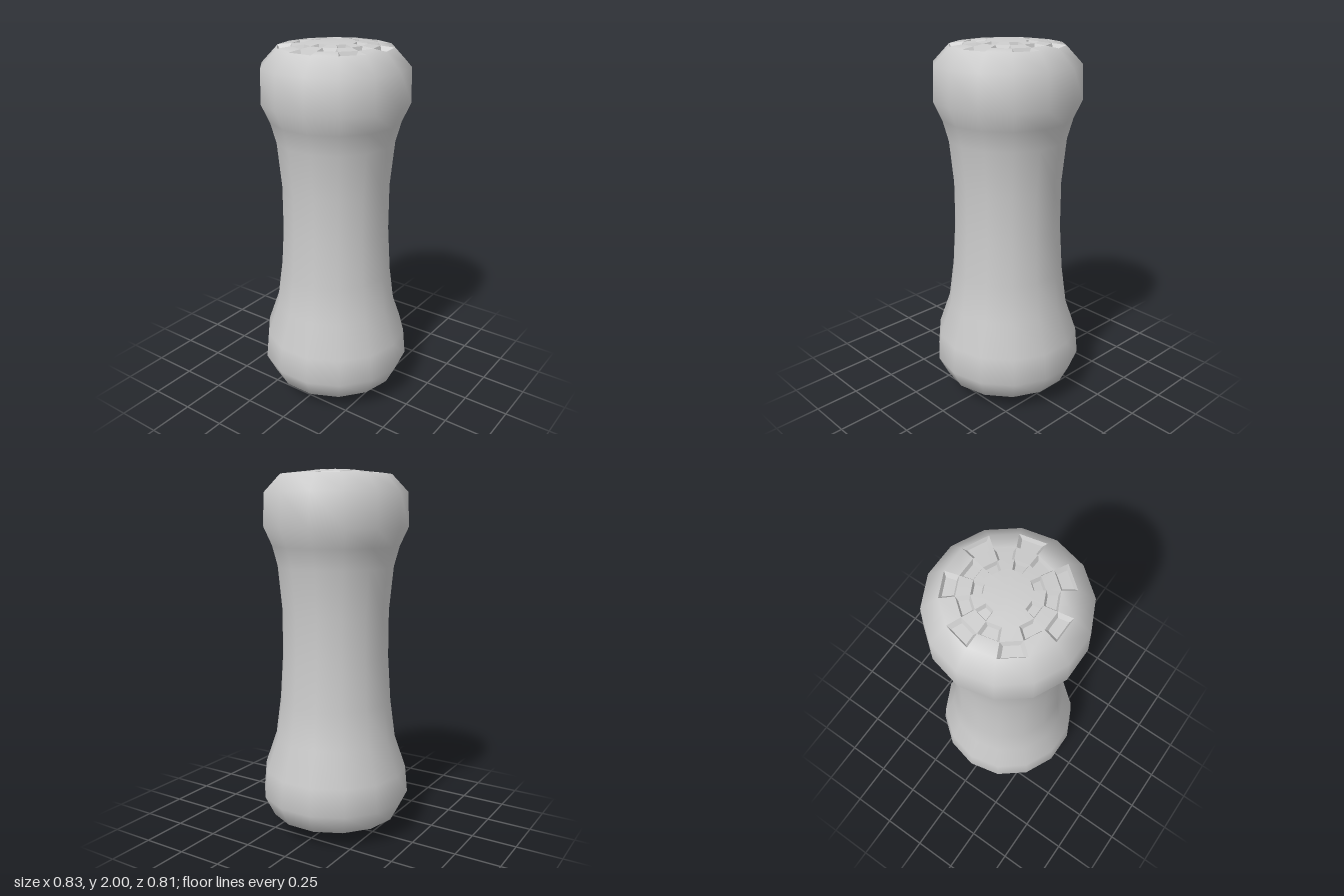
import * as THREE from 'three';
import { mergeGeometries, mergeVertices } from 'three/addons/utils/BufferGeometryUtils.js';

const SIDES = 14;
const STEP = (Math.PI * 2) / SIDES;

// Rings of the domed top, from rim to centre: [radius, height]
const TOP_RINGS = [[0.3, 1.972], [0.227, 1.98], [0.162, 1.987], [0.108, 1.994], [0, 2]];

const ringPoint = ([r, y], k) =>
  new THREE.Vector3(r * Math.cos(k * STEP), y, -r * Math.sin(k * STEP));

// Holes alternate like a checkerboard over three rings, with one inner hole left closed
function isHole(ring, k) {
  if (ring > 2 || (ring === 2 && k === 8)) return false;
  return (k + ring) % 2 === 0;
}

function geometryFromQuads(quads) {
  const points = quads.flatMap(([a, b, c, d]) => [a, b, c, a, c, d]);
  return new THREE.BufferGeometry().setFromPoints(points);
}

// Sloping walls and a smaller sunken floor for one hole
function pitQuads(rim) {
  const centre = rim.reduce((s, p) => s.add(p), new THREE.Vector3()).multiplyScalar(0.25);
  const floor = rim.map((p) => {
    const q = p.clone().lerp(centre, 0.28);
    q.y -= 0.022;
    return q;
  });
  const walls = rim.map((p, i) => {
    const j = (i + 1) % 4;
    return [p, rim[j], floor[j], floor[i]];
  });
  return [floor, ...walls];
}

export function createModel() {
  const group = new THREE.Group();
  const material = new THREE.MeshStandardMaterial({ color: 0xcccccc });

  // Turned body: rounded base, slim waist, wide head
  const profile = [
    [0, 0], [0.205, 0.028], [0.36, 0.1], [0.414, 0.21], [0.4, 0.36], [0.338, 0.54],
    [0.31, 0.75], [0.294, 1], [0.294, 1.25], [0.317, 1.49], [0.347, 1.6],
    [0.393, 1.7], [0.387, 1.88], TOP_RINGS[0],
  ].map(([r, y]) => new THREE.Vector2(r, y));
  const side = new THREE.LatheGeometry(profile, SIDES, Math.PI / 2).toNonIndexed();
  side.deleteAttribute('uv');
  side.deleteAttribute('normal');

  // Domed top, split into solid tiles and holes
  const solid = [];
  const pits = [];
  for (let ring = 0; ring < TOP_RINGS.length - 1; ring++) {
    const outer = TOP_RINGS[ring];
    const inner = TOP_RINGS[ring + 1];
    for (let k = 0; k < SIDES; k++) {
      const tile = [
        ringPoint(outer, k), ringPoint(outer, k + 1),
        ringPoint(inner, k + 1), ringPoint(inner, k),
      ];
      if (isHole(ring, k)) pits.push(...pitQuads(tile));
      else solid.push(tile);
    }
  }

  // Weld the top to the side so the shading runs smoothly over the rim
  const bodyGeometry = mergeVertices(mergeGeometries([side, geometryFromQuads(solid)]));
  bodyGeometry.computeVertexNormals();
  const body = new THREE.Mesh(bodyGeometry, material);
  body.name = 'shakerBody';
  group.add(body);

  // Sharp-edged holes
  const pitGeometry = geometryFromQuads(pits);
  pitGeometry.computeVertexNormals();
  const holes = new THREE.Mesh(
    pitGeometry,
    new THREE.MeshStandardMaterial({ color: 0xcccccc, flatShading: true }),
  );
  holes.name = 'topHoles';
  group.add(holes);

  return group;
}
